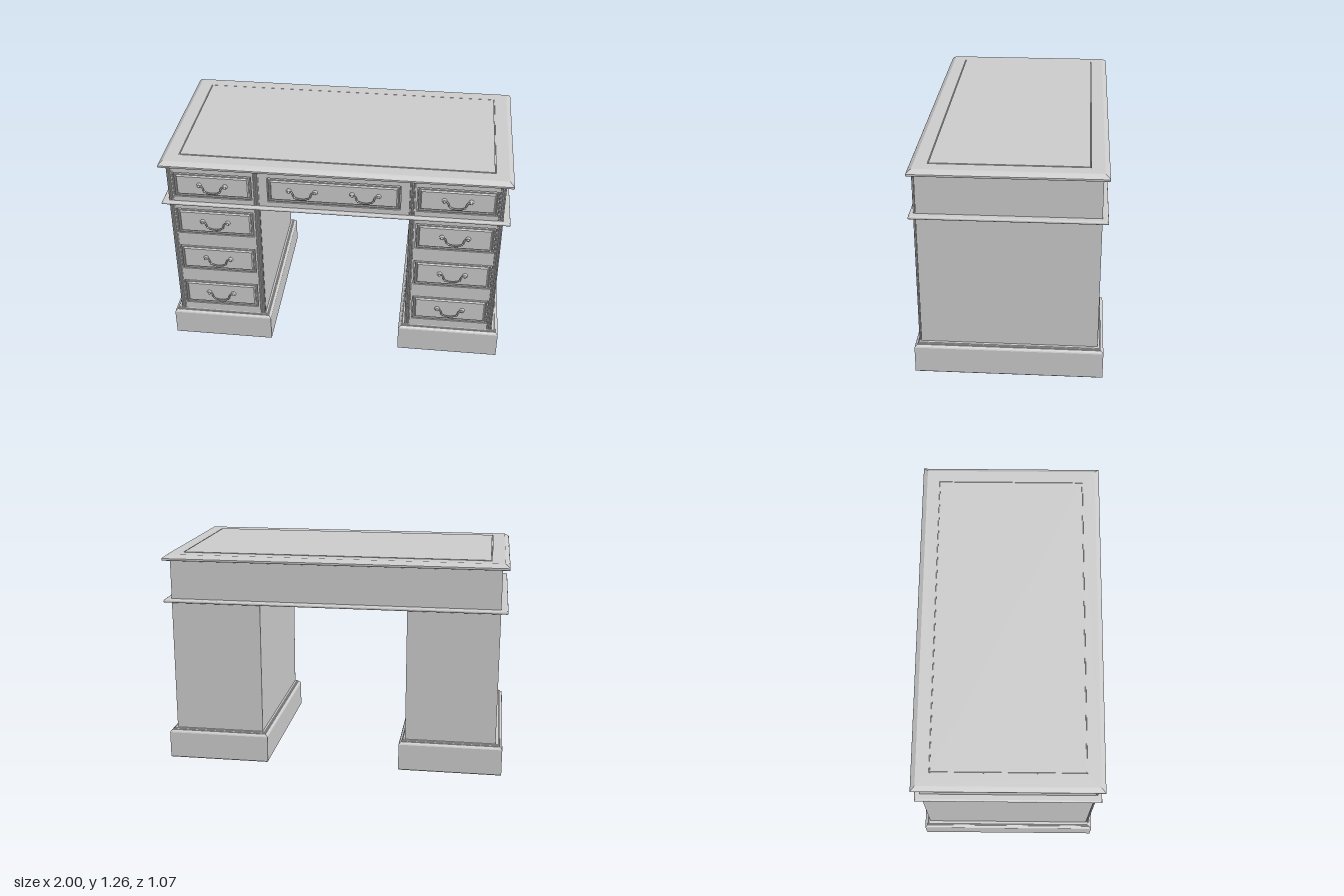
import * as THREE from 'three';

const material = new THREE.MeshStandardMaterial({ color: 0xcccccc });

function add(parent, name, geometry, x = 0, y = 0, z = 0) {
  const mesh = new THREE.Mesh(geometry, material);
  mesh.name = name;
  mesh.position.set(x, y, z);
  parent.add(mesh);
  return mesh;
}

// Box given by its limits
function addBox(parent, name, x0, x1, y0, y1, z0, z1) {
  return add(parent, name, new THREE.BoxGeometry(x1 - x0, y1 - y0, z1 - z0),
    (x0 + x1) / 2, (y0 + y1) / 2, (z0 + z1) / 2);
}

// Stacked rectangles: each level is [inset, height]; closed at both ends
function rectLoft(hx, hz, levels) {
  const rings = levels.map(([inset, y]) => {
    const a = hx - inset, b = hz - inset;
    return [[a, y, b], [a, y, -b], [-a, y, -b], [-a, y, b]];
  });
  const pos = [];
  const quad = (a, b, c, d) => pos.push(...a, ...b, ...c, ...a, ...c, ...d);
  for (let k = 0; k + 1 < rings.length; k++) {
    const lo = rings[k], hi = rings[k + 1];
    for (let i = 0; i < 4; i++) {
      const j = (i + 1) % 4;
      quad(lo[i], lo[j], hi[j], hi[i]);
    }
  }
  quad(...rings[rings.length - 1]);
  quad(...[...rings[0]].reverse());
  const g = new THREE.BufferGeometry();
  g.setAttribute('position', new THREE.Float32BufferAttribute(pos, 3));
  g.computeVertexNormals();
  return g;
}

const BACK = -0.5, INNER = 0.497, FRONT = 0.51;

// Front frame with rectangular drawer openings, each [x0, x1, y0, y1]
function addFrontFrame(parent, x0, x1, y0, y1, openings) {
  const rect = (T, a, b, c, d) => {
    const s = new T();
    s.moveTo(a, c).lineTo(b, c).lineTo(b, d).lineTo(a, d).closePath();
    return s;
  };
  const shape = rect(THREE.Shape, x0, x1, y0, y1);
  for (const o of openings) shape.holes.push(rect(THREE.Path, ...o));
  const g = new THREE.ExtrudeGeometry(shape, { depth: FRONT - INNER, bevelEnabled: false });
  add(parent, 'frontFrame', g, 0, 0, INNER);
}

// Swan-neck drop handle with two rosettes
const bailCurve = new THREE.CatmullRomCurve3([
  [-0.075, 0, 0.013], [-0.058, 0, 0.014], [-0.051, -0.014, 0.014], [-0.045, -0.032, 0.014],
  [-0.02, -0.043, 0.014], [0, -0.045, 0.014], [0.02, -0.043, 0.014],
  [0.045, -0.032, 0.014], [0.051, -0.014, 0.014], [0.058, 0, 0.014], [0.075, 0, 0.013],
].map((p) => new THREE.Vector3(...p)));
const bailGeometry = new THREE.TubeGeometry(bailCurve, 40, 0.005, 8);
const rosetteGeometry = new THREE.LatheGeometry([
  [0.015, 0], [0.015, 0.002], [0.011, 0.005], [0.005, 0.006], [0.005, 0.01],
  [0.008, 0.012], [0.008, 0.016], [0.005, 0.019], [0, 0.02],
].map((p) => new THREE.Vector2(...p)), 16).rotateX(Math.PI / 2);

function addHandle(parent, x, y) {
  const handle = new THREE.Group();
  handle.name = 'handle';
  handle.position.set(x, y, 0.514);
  add(handle, 'bail', bailGeometry);
  for (const s of [-1, 1]) add(handle, 'rosette', rosetteGeometry, s * 0.075, 0, 0);
  parent.add(handle);
}

// Drawer front: shadow gap, moulded edge, raised field
function addDrawer(parent, [x0, x1, y0, y1], handleXs) {
  const drawer = new THREE.Group();
  drawer.name = 'drawer';
  const cx = (x0 + x1) / 2, cy = (y0 + y1) / 2;
  const g = rectLoft((x1 - x0) / 2, (y1 - y0) / 2, [
    [0.005, INNER], [0.005, 0.507], [0.007, 0.511], [0.011, 0.511],
    [0.014, 0.505], [0.017, 0.505], [0.023, 0.514],
  ]).rotateX(Math.PI / 2);
  add(drawer, 'drawerFront', g, cx, cy, 0);
  for (const hx of handleXs) addHandle(drawer, hx, cy + 0.006);
  parent.add(drawer);
}

// Three upright reeds forming a pilaster strip that starts at x0
function addReeds(parent, x0, y0, y1) {
  const g = new THREE.CylinderGeometry(0.005, 0.005, y1 - y0, 10);
  for (let i = 0; i < 3; i++) add(parent, 'reed', g, x0 + 0.005 + i * 0.01, (y0 + y1) / 2, 0.505);
}

export function createModel() {
  const desk = new THREE.Group();
  desk.name = 'pedestalDesk';

  // Top with bevelled rim and a grooved line around the writing surface
  add(desk, 'top', rectLoft(1, 0.533, [
    [0.008, 1.22], [0.002, 1.222], [0, 1.227], [0, 1.234], [0.004, 1.239],
    [0.027, 1.255], [0.101, 1.255], [0.102, 1.251], [0.106, 1.251], [0.107, 1.257],
  ]));

  // Upper case and the rounded moulding below it
  const upper = new THREE.Group();
  upper.name = 'upperCase';
  desk.add(upper);
  addBox(upper, 'caseBody', -0.96, 0.96, 0.98, 1.221, BACK, INNER);
  const bead = [];
  for (let i = 0; i <= 8; i++) {
    const a = -Math.PI / 2 + (i / 8) * Math.PI;
    bead.push([0.01 * (1 - Math.cos(a)), 0.98 + 0.01 * Math.sin(a)]);
  }
  add(upper, 'waistMoulding', rectLoft(1, 0.533, bead));
  const centre = [-0.38, 0.38, 1.022, 1.183];
  addFrontFrame(upper, -0.43, 0.43, 0.985, 1.221, [centre]);
  addDrawer(upper, centre, [-0.18, 0.18]);

  // Pedestals, mirrored left and right
  for (const s of [-1, 1]) {
    const span = (a, b) => (s > 0 ? [a, b] : [-b, -a]);
    const pedestal = new THREE.Group();
    pedestal.name = s > 0 ? 'leftPedestal' : 'rightPedestal';
    desk.add(pedestal);

    add(pedestal, 'plinth', rectLoft(0.3025, 0.533, [
      [0.005, 0], [0, 0.005], [0, 0.16], [0.003, 0.166], [0.015, 0.174],
      [0.016, 0.179], [0.02, 0.18], [0.023, 0.185],
    ]), s * 0.6975, 0, 0);
    addBox(pedestal, 'pedestalBody', ...span(0.43, 0.96), 0.18, 0.975, BACK, INNER);

    const [d0, d1] = span(0.472, 0.924);
    const drawers = [0.32, 0.585, 0.85].map((y) => [d0, d1, y - 0.087, y + 0.087]);
    const [f0, f1] = span(0.46, 0.93);
    addFrontFrame(pedestal, f0, f1, 0.18, 0.975, drawers);
    for (const d of drawers) addDrawer(pedestal, d, [s * 0.698]);

    const topDrawer = [d0, d1, 1.022, 1.183];
    addFrontFrame(upper, f0, f1, 0.985, 1.221, [topDrawer]);
    addDrawer(upper, topDrawer, [s * 0.698]);

    for (const x of [0.43, 0.93]) {
      const [x0] = span(x, x + 0.03);
      addReeds(pedestal, x0, 0.18, 0.975);
      addReeds(upper, x0, 0.985, 1.221);
    }
  }
  return desk;
}
